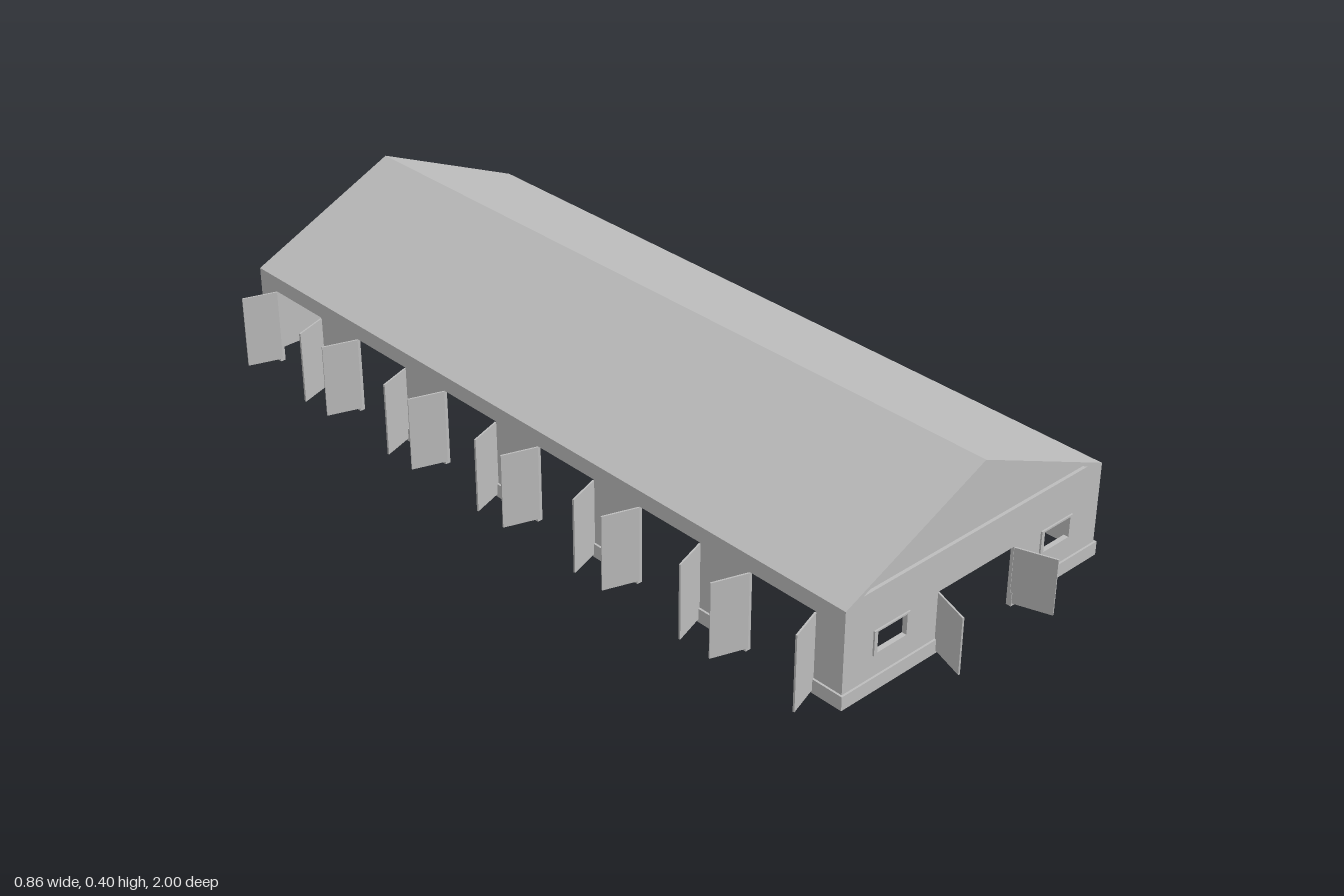
import * as THREE from 'three';

const T = 0.008;                       // wall thickness
const XL = -0.35, XR = 0.422, XM = 0.036;
const ZF = 0.91, ZB = -0.995;
const EAVE = 0.228, RIDGE = 0.4;
const DOOR = { x0: -0.077, x1: 0.15, h: 0.145 };
const PLINTH_H = 0.033, LIP = 0.005;

export function createModel() {
  const group = new THREE.Group();
  const grey = new THREE.MeshStandardMaterial({ color: 0xbcbcbc });
  grey.name = 'plain grey';

  const add = (name, geometry, x = 0, y = 0, z = 0) => {
    const mesh = new THREE.Mesh(geometry, grey);
    mesh.name = name;
    mesh.position.set(x, y, z);
    group.add(mesh);
    return mesh;
  };
  const box = (name, x0, x1, y0, y1, z0, z1) =>
    add(name, new THREE.BoxGeometry(x1 - x0, y1 - y0, z1 - z0), (x0 + x1) / 2, (y0 + y1) / 2, (z0 + z1) / 2);
  const outline = (pts) => pts.map(([x, y]) => new THREE.Vector2(x, y));
  const rect = (x0, x1, y0, y1) => outline([[x0, y0], [x0, y1], [x1, y1], [x1, y0]]);
  const extrude = (pts, holes, depth) => {
    const shape = new THREE.Shape(outline(pts));
    holes.forEach((h) => shape.holes.push(new THREE.Path(h)));
    return new THREE.ExtrudeGeometry(shape, { depth, bevelEnabled: false });
  };
  // Thin upright door leaf between two points on the ground plan
  const leaf = (name, x0, z0, x1, z1, y0, y1) => {
    const length = Math.hypot(x1 - x0, z1 - z0);
    const mesh = add(name, new THREE.BoxGeometry(length, y1 - y0, 0.004), (x0 + x1) / 2, (y0 + y1) / 2, (z0 + z1) / 2);
    mesh.rotation.y = -Math.atan2(z1 - z0, x1 - x0);
  };

  // Roof prism; its ends form the recessed gable panels, its underside the ceiling
  add('roof', extrude([[XL, EAVE], [XR, EAVE], [XM, RIDGE]], [], ZF - ZB - 2 * T), 0, 0, ZB + T);

  // End walls with a triangular gable recess
  const recess = outline([[-0.303, 0.24], [0.374, 0.24], [XM, 0.39]]);
  const top = [[XR, 0], [XR, EAVE], [XM, RIDGE], [XL, EAVE], [XL, 0]];
  const notch = [[DOOR.x0, 0], [DOOR.x0, DOOR.h], [DOOR.x1, DOOR.h], [DOOR.x1, 0]];
  const windows = [[-0.267, -0.165], [0.235, 0.335]];
  const panes = windows.map(([a, b]) => rect(a + 0.009, b - 0.009, 0.09, 0.139));
  add('frontWall', extrude([...top, ...notch], [recess, ...panes], T), 0, 0, ZF - T);
  add('backWall', extrude(top, [recess], T), 0, 0, ZB);

  // Window frames
  windows.forEach(([a, b], i) =>
    add('windowFrame', extrude([[a, 0.085], [b, 0.085], [b, 0.143], [a, 0.143]], [panes[i]], 0.004), 0, 0, ZF));

  // Plain long wall
  box('leftWall', XR - T, XR, 0, EAVE, ZB + T, ZF - T);

  // Long wall with six doorways
  const bays = Array.from({ length: 6 }, (_, i) => {
    const z = -0.932 + i * 0.3175;
    return [z, z + 0.178];
  });
  const sideTop = 0.19;
  const sidePts = [[ZB + T, 0]];
  bays.forEach(([a, b]) => sidePts.push([a, 0], [a, sideTop], [b, sideTop], [b, 0]));
  sidePts.push([ZF - T, 0], [ZF - T, EAVE], [ZB + T, EAVE]);
  add('rightWall', extrude(sidePts, [], T).rotateY(-Math.PI / 2), XL + T);

  // Plinth around the foot of the walls, broken at every doorway
  box('plinth', XR, XR + LIP, 0, PLINTH_H, ZB - LIP, ZF + LIP);
  box('plinth', XL, XR, 0, PLINTH_H, ZB - LIP, ZB);
  box('plinth', XL, DOOR.x0, 0, PLINTH_H, ZF, ZF + LIP);
  box('plinth', DOOR.x1, XR, 0, PLINTH_H, ZF, ZF + LIP);
  const stops = [ZB - LIP, ...bays.flat(), ZF + LIP];
  for (let i = 0; i < stops.length; i += 2) {
    box('plinth', XL - LIP, XL, 0, PLINTH_H, stops[i], stops[i + 1]);
  }

  // Open door leaves
  leaf('frontDoor', DOOR.x0 - 0.002, ZF, -0.109, 0.999, 0.007, 0.143);
  leaf('frontDoor', DOOR.x1 + 0.002, ZF, 0.182, 0.999, 0.007, 0.143);
  bays.forEach(([a, b]) => {
    leaf('sideDoor', XL, a, -0.43, a - 0.027, 0.007, 0.188);
    leaf('sideDoor', XL, b, -0.43, b + 0.027, 0.007, 0.188);
  });

  return group;
}
